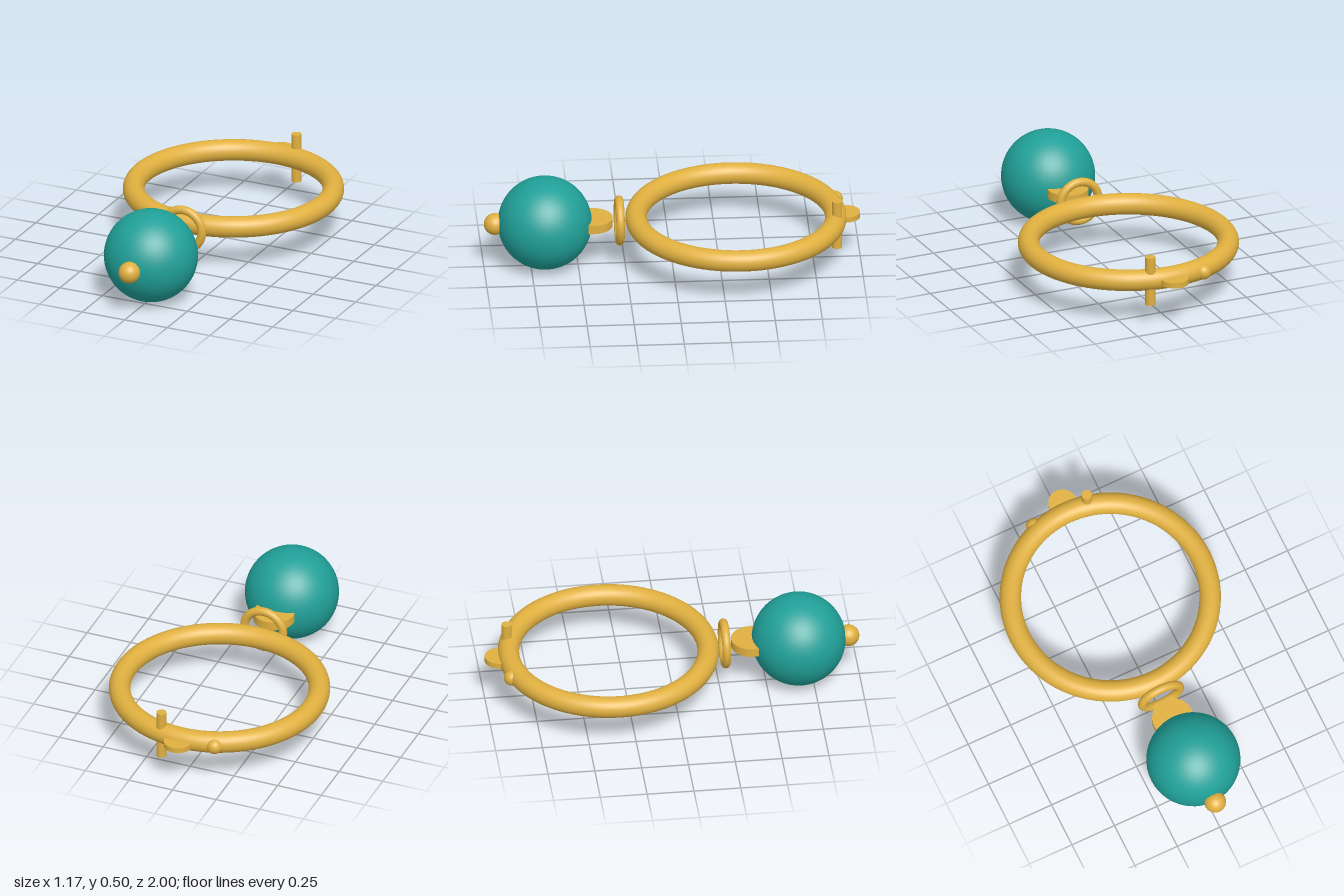
import * as THREE from 'three';

const MID = 0.25; // height of the common centre plane
const gold = new THREE.MeshStandardMaterial({ color: 0xe0b040 });
const teal = new THREE.MeshStandardMaterial({ color: 0x20a098 });

export function createModel() {
  const model = new THREE.Group();
  const add = (name, geometry, material, x, z) => {
    const mesh = new THREE.Mesh(geometry, material);
    mesh.name = name;
    mesh.position.set(x, MID, z);
    model.add(mesh);
    return mesh;
  };
  const ball = (r) => new THREE.SphereGeometry(r, 48, 32);
  const disc = (r, h) => new THREE.CylinderGeometry(r, r, h, 40);

  // Large hoop lying flat
  add('hoop', new THREE.TorusGeometry(0.53, 0.057, 32, 96).rotateX(Math.PI / 2), gold, 0, -0.34);

  // Clasp at the back of the hoop: lug, hinge pin and round catch
  add('claspLug', disc(0.075, 0.03), gold, 0, -0.925);
  add('hingePin', disc(0.027, 0.27), gold, 0.117, -0.87);
  add('catchKnob', ball(0.042), gold, -0.19, -0.878);

  // Upright jump ring between hoop and bead
  add('jumpRing', new THREE.TorusGeometry(0.11, 0.023, 20, 48), gold, 0, 0.28);

  // Bead with its rear cap and front tip
  add('beadCap', disc(0.11, 0.048), gold, 0, 0.425);
  add('bead', ball(0.25), teal, 0, 0.676);
  add('beadTip', ball(0.058), gold, 0, 0.942);

  return model;
}
